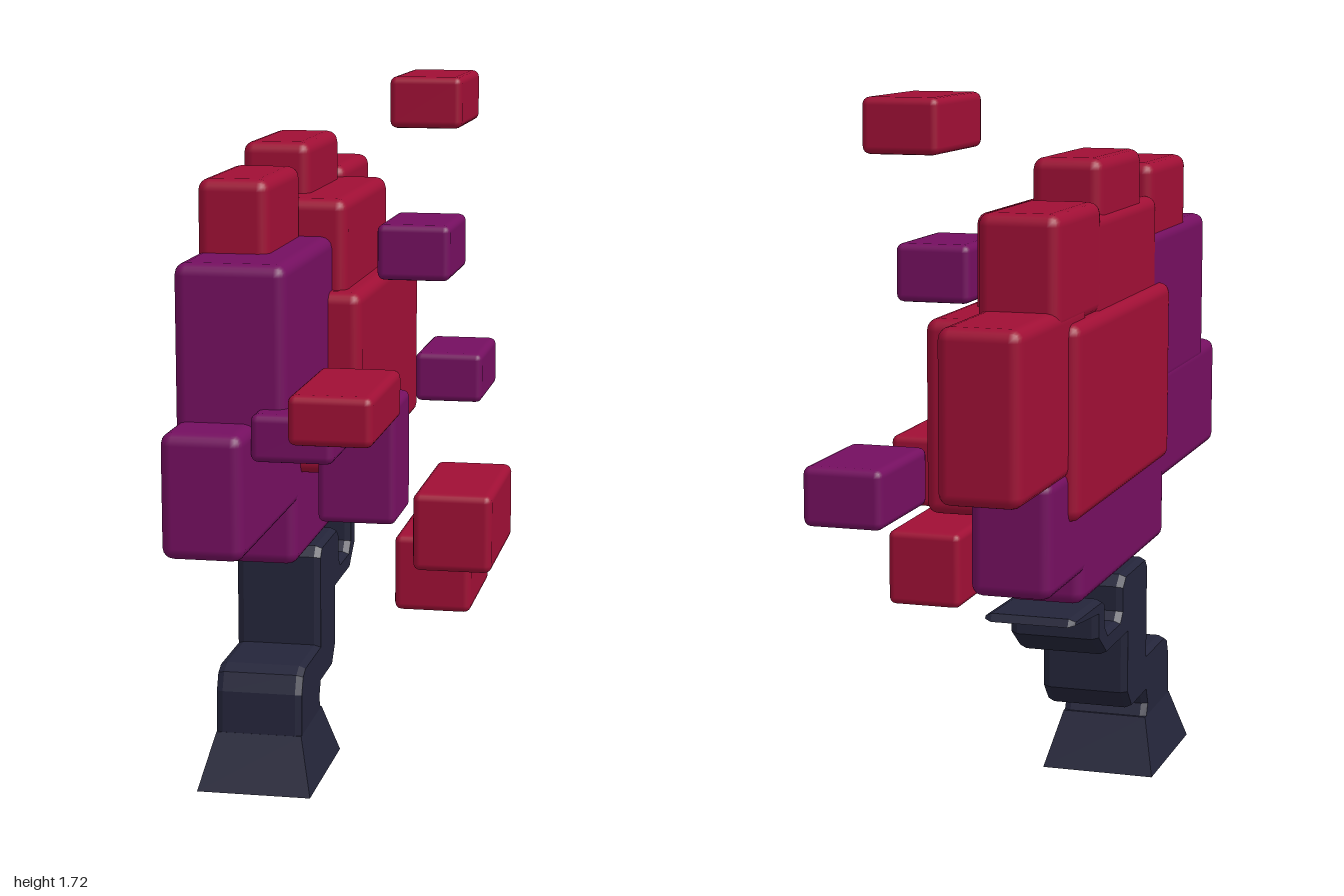
import * as THREE from 'three';
import { RoundedBoxGeometry } from 'three/addons/geometries/RoundedBoxGeometry.js';

const material = (name, color) => {
  const m = new THREE.MeshStandardMaterial({ color });
  m.name = name;
  return m;
};

// Foliage blocks: [x0, x1, y0, y1, z0, z1]
const redBlocks = [
  [-0.355, 0.01, 0.78, 1.23, -0.64, 0.21],
  [-0.33, -0.035, 1.0, 1.45, -0.41, 0.16],
  [-0.33, -0.14, 0.88, 1.265, -1.0, -0.48],
  [-0.33, -0.14, 1.22, 1.48, -0.72, -0.36],
  [-0.32, -0.15, 1.4, 1.575, -0.34, 0.04],
  [-0.32, -0.15, 1.3, 1.53, 0.14, 0.5],
];
const purpleBlocks = [
  [-0.33, -0.07, 0.96, 1.36, 0.1, 0.685],
  [-0.33, -0.14, 0.71, 1.0, 0.15, 0.825],
  [-0.33, -0.14, 0.56, 0.85, -0.52, 0.26],
  [-0.33, -0.14, 0.63, 0.9, -0.775, -0.3],
];
// Small loose leaf clumps on the outer side
const redLeaves = [
  [0, 0.185, 1.59, 1.72, -0.565, -0.235],
  [0, 0.185, 1.02, 1.13, 0.64, 1.0],
  [0.185, 0.37, 0.625, 0.81, 0.12, 0.495],
  [0.085, 0.275, 0.435, 0.625, -0.17, 0.165],
];
const purpleLeaves = [
  [0, 0.185, 1.225, 1.365, -0.345, -0.055],
  [0, 0.185, 0.805, 0.94, -0.95, -0.645],
  [-0.14, 0.05, 0.925, 1.035, 0.455, 0.75],
  [-0.07, 0.12, 0.695, 0.99, 0.14, 0.35],
];

export function createModel() {
  const group = new THREE.Group();
  const red = material('crimson foliage', 0xa00f35);
  const purple = material('purple foliage', 0x750f60);
  const bark = material('dark bark', 0x24253a);

  const add = (name, geometry, mat) => {
    const mesh = new THREE.Mesh(geometry, mat);
    mesh.name = name;
    group.add(mesh);
    return mesh;
  };
  const addBlocks = (name, list, mat, radius) => list.forEach(([x0, x1, y0, y1, z0, z1], i) => {
    const geo = new RoundedBoxGeometry(x1 - x0, y1 - y0, z1 - z0, 2, radius);
    add(name + (i + 1), geo, mat).position.set((x0 + x1) / 2, (y0 + y1) / 2, (z0 + z1) / 2);
  });
  addBlocks('redFoliage', redBlocks, red, 0.028);
  addBlocks('purpleFoliage', purpleBlocks, purple, 0.028);
  addBlocks('redLeaf', redLeaves, red, 0.018);
  addBlocks('purpleLeaf', purpleLeaves, purple, 0.018);

  // Flared trunk foot: a box whose top is pulled in
  const foot = new THREE.BoxGeometry(1, 1, 1);
  const p = foot.attributes.position;
  for (let i = 0; i < p.count; i++) {
    const top = p.getY(i) > 0;
    p.setXYZ(i,
      -0.2325 + p.getX(i) * (top ? 0.215 : 0.285),
      top ? 0.135 : 0,
      0.165 + p.getZ(i) * (top ? 0.25 : 0.38));
  }
  foot.computeVertexNormals();
  add('trunkFoot', foot, bark);

  // Stepped trunk and branch: side profile in (z, y), extruded across x
  const profile = [
    [0.29, 0.12], [0.04, 0.12], [0.06, 0.165], [0.045, 0.2], [-0.1, 0.2], [-0.145, 0.25],
    [-0.145, 0.4], [-0.34, 0.4], [-0.415, 0.455], [-0.415, 0.51], [-0.62, 0.535],
    [-0.61, 0.553], [-0.38, 0.545], [-0.35, 0.53], [-0.35, 0.475], [-0.325, 0.45],
    [-0.215, 0.45], [-0.195, 0.47], [-0.195, 0.53], [-0.165, 0.555], [0.03, 0.555],
    [0.052, 0.53], [0.052, 0.3], [0.235, 0.3], [0.268, 0.285], [0.287, 0.24],
  ];
  const shape = new THREE.Shape(profile.map(([z, y]) => new THREE.Vector2(-z, y)));
  const bevel = 0.016;
  const trunk = new THREE.ExtrudeGeometry(shape, {
    depth: 0.215 - 2 * bevel, bevelEnabled: true, bevelSegments: 1,
    bevelThickness: bevel, bevelSize: 0.007, bevelOffset: -0.007,
  });
  trunk.rotateY(Math.PI / 2);
  trunk.translate(-0.34 + bevel, 0, 0);
  add('trunkAndBranch', trunk, bark);

  return group;
}
